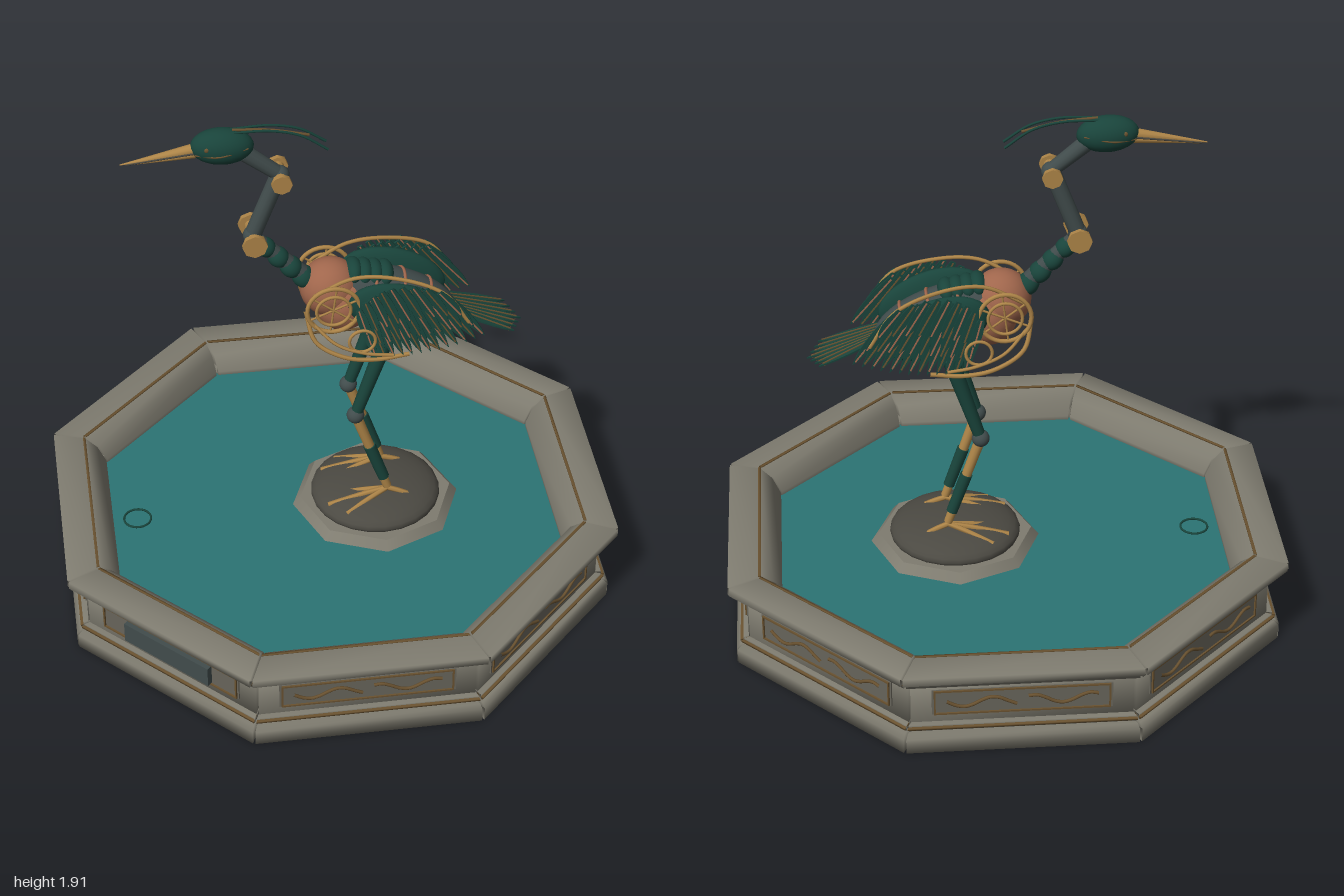
import * as THREE from 'three';
import { mergeVertices } from 'three/addons/utils/BufferGeometryUtils.js';

const paint = (name, color) => {
  const m = new THREE.MeshStandardMaterial({ color });
  m.name = name;
  return m;
};
const stone = paint('stone', 0x7f7c70), darkStone = paint('dark stone', 0x4b4942),
  panelStone = paint('panel stone', 0x67645a), water = paint('water', 0x2b7474),
  green = paint('verdigris green', 0x19443b), slate = paint('slate metal', 0x414c4c),
  gold = paint('brass', 0xae8548), copper = paint('copper', 0xa0664c), bronze = paint('dark bronze', 0x6a5230);

const V = (x, y, z = 0) => new THREE.Vector3(x, y, z);
const UP = V(0, 1, 0);

function add(parent, name, geo, mat, x = 0, y = 0, z = 0) {
  const m = new THREE.Mesh(geo, mat);
  m.name = name;
  m.position.set(x, y, z);
  parent.add(m);
  return m;
}
// Tapered rod between two points
function rod(parent, name, a, b, ra, rb, mat, sides = 12) {
  const m = add(parent, name, new THREE.CylinderGeometry(rb, ra, a.distanceTo(b), sides), mat);
  m.position.copy(a).lerp(b, 0.5);
  m.quaternion.setFromUnitVectors(UP, b.clone().sub(a).normalize());
}
function ball(parent, name, p, r, mat, sx = 1, sy = 1, sz = 1, tilt = 0) {
  const m = add(parent, name, new THREE.SphereGeometry(r, 24, 16), mat, p.x, p.y, p.z);
  m.scale.set(sx, sy, sz);
  m.rotation.z = tilt;
}
const tube = (parent, name, pts, r, mat) =>
  add(parent, name, new THREE.TubeGeometry(new THREE.CatmullRomCurve3(pts), 28, r, 6), mat);
const ring = (parent, name, p, R, r, mat) =>
  add(parent, name, new THREE.TorusGeometry(R, r, 8, 32), mat, p.x, p.y, p.z);

// Share corners so that normals blend smoothly over the edges
function soften(geo) {
  geo.deleteAttribute('uv');
  geo.deleteAttribute('normal');
  const merged = mergeVertices(geo);
  merged.computeVertexNormals();
  return merged;
}
// Octagonal moulding: a [distance, height] profile swept along eight mitred sides
function moulding(parent, name, profile, mat) {
  const geo = new THREE.ExtrudeGeometry(new THREE.Shape(profile.map(p => new THREE.Vector2(...p))),
    { depth: 1, bevelEnabled: false });
  const pos = geo.attributes.position;
  for (let i = 0; i < pos.count; i++)
    pos.setZ(i, (pos.getZ(i) - 0.5) * 2 * (pos.getX(i) * Math.tan(Math.PI / 8) - 0.005));
  const soft = soften(geo);
  for (let i = 0; i < 8; i++) add(parent, name, soft, mat).rotation.y = i * Math.PI / 4;
}
const octagon = (apothem, h, top = apothem) => new THREE.CylinderGeometry(top / Math.cos(Math.PI / 8),
  apothem / Math.cos(Math.PI / 8), h, 8, 1, false, Math.PI / 8);

function buildBasin() {
  const g = new THREE.Group();
  g.name = 'basin';
  moulding(g, 'footMoulding', [[0.8, 0], [0.98, 0], [0.98, 0.055], [0.965, 0.07], [0.8, 0.07]], stone);
  moulding(g, 'lowerStep', [[0.82, 0.075], [0.955, 0.075], [0.955, 0.098], [0.82, 0.098]], stone);
  moulding(g, 'basinWall', [[0.82, 0.07], [0.935, 0.07], [0.935, 0.26], [0.82, 0.26]], stone);
  moulding(g, 'rim', [[0.81, 0.2], [0.93, 0.255], [0.97, 0.265], [0.975, 0.288], [1, 0.295],
    [1, 0.325], [0.885, 0.335], [0.84, 0.3], [0.81, 0.24]], stone);
  moulding(g, 'rimInlay', [[0.882, 0.332], [0.892, 0.332], [0.892, 0.338], [0.882, 0.338]], bronze);
  moulding(g, 'lowerInlay', [[0.93, 0.084], [0.965, 0.084], [0.965, 0.092], [0.93, 0.092]], bronze);
  moulding(g, 'upperInlay', [[0.93, 0.284], [0.981, 0.284], [0.981, 0.29], [0.93, 0.29]], bronze);
  add(g, 'water', octagon(0.822, 0.02), water, 0, 0.215, 0);
  add(g, 'underside', soften(octagon(0.83, 0.1)), stone, 0, 0.1, 0);

  // Framed relief panels, one replaced by a plaque
  for (let i = 0; i < 8; i++) {
    const p = new THREE.Group();
    p.name = 'sidePanel';
    p.rotation.y = i * Math.PI / 4;
    g.add(p);
    add(p, 'panelBack', new THREE.BoxGeometry(0.62, 0.1, 0.006), panelStone, 0, 0.18, 0.937);
    for (const s of [-1, 1]) {
      add(p, 'panelRail', new THREE.BoxGeometry(0.6, 0.006, 0.014), bronze, 0, 0.18 + s * 0.046, 0.939);
      add(p, 'panelStile', new THREE.BoxGeometry(0.006, 0.098, 0.014), bronze, s * 0.3, 0.18, 0.939);
    }
    if (i === 7) {
      add(p, 'plaque', new THREE.BoxGeometry(0.38, 0.08, 0.03), slate, 0, 0.18, 0.947);
      continue;
    }
    for (const s of [-1, 1]) {
      const pts = [];
      for (let k = 0; k <= 8; k++)
        pts.push(V(s * (0.02 + k * 0.03), 0.18 + 0.018 * Math.sin(k * 0.95 + s), 0.945));
      tube(p, 'waveRelief', pts, 0.006, bronze);
    }
  }
  // Rock island and ripple
  add(g, 'islandSlab', octagon(0.288, 0.035, 0.26).toNonIndexed(), stone, 0.17, 0.24, 0).rotation.y = Math.PI / 8;
  ball(g, 'rock', V(0.17, 0.268, 0), 0.24, darkStone, 1, 0.28, 1);
  ring(g, 'ripple', V(-0.72, 0.228, 0), 0.05, 0.004, green).rotation.x = Math.PI / 2;
  return g;
}

// Thin pointed feather with a metal spine, from root to tip
function feather(parent, name, root, tip, width, roll, spineMat) {
  const L = root.distanceTo(tip), w = width / 2;
  const s = new THREE.Shape();
  s.moveTo(0, -w * 0.5);
  s.quadraticCurveTo(L * 0.65, -w * 1.6, L, 0);
  s.quadraticCurveTo(L * 0.65, w * 1.6, 0, w * 0.5);
  const f = new THREE.Group();
  f.name = name;
  add(f, 'vane', new THREE.ExtrudeGeometry(s, { depth: 0.006, bevelEnabled: false, curveSegments: 6 }), green, 0, 0, -0.003);
  add(f, 'spine', new THREE.BoxGeometry(L * 0.92, 0.005, 0.012), spineMat, L * 0.48, 0, 0);
  f.position.copy(root);
  const q = new THREE.Quaternion().setFromAxisAngle(V(1, 0, 0), roll);
  f.quaternion.setFromUnitVectors(V(1, 0, 0), tip.clone().sub(root).normalize()).multiply(q);
  parent.add(f);
}

function buildWing(s) {
  const g = new THREE.Group();
  g.name = s > 0 ? 'leftWing' : 'rightWing';
  ball(g, 'wingShell', V(0.24, 1.17, s * 0.11), 0.2, green, 1, 0.55, 0.2, -0.35);
  const roots = new THREE.QuadraticBezierCurve3(V(0.08, 1.22), V(0.16, 1.36), V(0.36, 1.27));
  const tips = new THREE.QuadraticBezierCurve3(V(0.14, 1.02), V(0.34, 0.99), V(0.53, 1.06));
  // Three overlapping rows: [count, start, end, distance out, tip spread]
  for (const [n, from, to, z, out] of [[13, 0.1, 1, 0.135, 0.025], [11, 0.05, 0.75, 0.15, 0.018], [9, 0, 0.48, 0.162, 0.01]])
    for (let i = 0; i < n; i++) {
      const t = i / (n - 1), a = roots.getPoint(t), b = tips.getPoint(t);
      const p = a.clone().lerp(b, from), q = a.clone().lerp(b, to);
      p.z = s * (z - 0.012 + i * 0.0006);
      q.z = s * (z + out - i * 0.0012);
      feather(g, 'wingFeather', p, q, 0.04, 0, i % 2 ? bronze : copper);
    }
  // Brass frame hoops and gear rings
  tube(g, 'upperFrame', [V(-0.07, 1.25, s * 0.09), V(0.07, 1.325, s * 0.105), V(0.22, 1.322, s * 0.125),
    V(0.38, 1.26, s * 0.15), V(0.47, 1.13, s * 0.155)], 0.007, gold);
  tube(g, 'lowerFrame', [V(-0.1, 1.2, s * 0.1), V(-0.07, 1.09, s * 0.14), V(0.03, 1.03, s * 0.165),
    V(0.14, 1.005, s * 0.16), V(0.26, 1.01, s * 0.15)], 0.008, gold);
  tube(g, 'innerFrame', [V(-0.08, 1.16, s * 0.12), V(0.0, 1.09, s * 0.165), V(0.1, 1.05, s * 0.178),
    V(0.2, 1.03, s * 0.175)], 0.006, gold);
  ring(g, 'shoulderRing', V(-0.005, 1.21, s * 0.125), 0.092, 0.008, gold);
  ring(g, 'shoulderInnerRing', V(-0.005, 1.21, s * 0.13), 0.06, 0.006, gold);
  ring(g, 'lowerRing', V(0.09, 1.1, s * 0.172), 0.046, 0.006, gold);
  for (let i = 0; i < 3; i++) {
    const a = 0.4 + i * Math.PI / 3, c = Math.cos(a) * 0.09, d = Math.sin(a) * 0.09;
    rod(g, 'ringSpoke', V(-0.005 - c, 1.21 - d, s * 0.125), V(-0.005 + c, 1.21 + d, s * 0.125), 0.004, 0.004, gold, 6);
  }
  return g;
}

function buildLeg(s) {
  const g = new THREE.Group(), z = s * 0.09;
  g.name = s > 0 ? 'leftLeg' : 'rightLeg';
  ball(g, 'hip', V(0.185, 1.06, s * 0.07), 0.042, slate);
  rod(g, 'thigh', V(0.188, 1.04, z), V(0.085, 0.72, z), 0.03, 0.022, green);
  ball(g, 'knee', V(0.08, 0.705, z), 0.032, slate);
  rod(g, 'shin', V(0.085, 0.69, z), V(0.2, 0.355, z), 0.02, 0.016, gold);
  rod(g, 'shinSleeve', V(0.132, 0.555, z), V(0.186, 0.4, z), 0.023, 0.021, green);
  // Toes and tendrils spread over the rock
  for (const [dx, dz] of [[-0.21, -0.05], [-0.22, 0.01], [-0.16, 0.07], [0.11, 0.01]])
    tube(g, 'toe', [V(0.2, 0.345, z), V(0.2 + dx * 0.4, 0.328, z + s * dz * 0.4),
      V(0.2 + dx, 0.295, z + s * dz)], 0.01, gold);
  return g;
}

function buildHeadAndNeck() {
  const g = new THREE.Group();
  g.name = 'headAndNeck';
  ball(g, 'head', V(-0.365, 1.845), 0.108, green, 1, 0.6, 0.55, -0.05);
  rod(g, 'upperBeak', V(-0.45, 1.842), V(-0.71, 1.8), 0.021, 0.002, gold);
  rod(g, 'lowerBeak', V(-0.44, 1.826), V(-0.69, 1.798), 0.018, 0.002, gold);
  for (const s of [-1, 1]) {
    rod(g, 'beakLine', V(-0.45, 1.836, s * 0.02), V(-0.69, 1.8, s * 0.003), 0.004, 0.003, darkStone, 6);
    ball(g, 'eye', V(-0.42, 1.86, s * 0.046), 0.009, bronze, 1, 1, 0.6);
    tube(g, 'cheekTrim', [V(-0.46, 1.832, s * 0.028), V(-0.38, 1.838, s * 0.06), V(-0.28, 1.85, s * 0.038)], 0.003, bronze);
    tube(g, 'crestPlume', [V(-0.34, 1.9, s * 0.012), V(-0.2, 1.9, s * 0.018), V(-0.1, 1.875, s * 0.022),
      V(-0.01, 1.815, s * 0.026)], 0.005, green);
  }
  tube(g, 'crestCentre', [V(-0.33, 1.905), V(-0.2, 1.893), V(-0.07, 1.862)], 0.005, bronze);
  // Jointed neck with brass pivots
  rod(g, 'upperNeck', V(-0.29, 1.81), V(-0.18, 1.72), 0.03, 0.026, slate);
  rod(g, 'middleNeck', V(-0.175, 1.71), V(-0.265, 1.48), 0.03, 0.03, slate);
  for (const [x, y, w, r] of [[-0.172, 1.71, 0.05, 0.036], [-0.268, 1.47, 0.058, 0.044]]) {
    rod(g, 'pivotPin', V(x, y, -w), V(x, y, w), 0.022, 0.022, gold);
    ball(g, 'pivotCore', V(x, y), 0.034, slate);
    for (const s of [-1, 1]) rod(g, 'pivotCap', V(x, y, s * w), V(x, y, s * (w + 0.018)), r, r, gold, 8);
  }
  rod(g, 'lowerNeck', V(-0.25, 1.445), V(-0.07, 1.26), 0.026, 0.034, slate);
  for (let i = 0; i < 4; i++)
    ball(g, 'neckPlate', V(-0.225 + i * 0.044, 1.415 - i * 0.046), 0.036 + i * 0.002, green, 1.1, 0.95, 1, -0.83);
  return g;
}

export function createModel() {
  const model = new THREE.Group();
  model.name = 'wadingBirdFountain';
  model.add(buildBasin());

  const body = new THREE.Group();
  body.name = 'body';
  ball(body, 'torso', V(0.19, 1.16), 0.27, slate, 1, 0.44, 0.38, -0.3);
  ball(body, 'chest', V(0, 1.225), 0.108, copper, 1, 1, 0.92);
  ball(body, 'breast', V(0.05, 1.17), 0.12, copper, 0.9, 1, 0.92, -0.3);
  for (let i = 0; i < 4; i++)
    ball(body, 'backPlate', V(0.08 + i * 0.037, 1.285 - i * 0.007), 0.055, green, 0.6, 0.75, 1.15, -0.3);
  for (const [x, y, r] of [[0.13, 1.185, 0.114], [0.23, 1.15, 0.115], [0.33, 1.12, 0.097]]) {
    const band = ring(body, 'bodyBand', V(x, y), r, 0.006, copper);
    band.rotation.set(0, Math.PI / 2, -0.3, 'ZYX');
    band.scale.x = 0.88;
  }
  // Fanned tail
  for (let i = -3; i <= 3; i++)
    feather(body, 'tailFeather', V(0.4, 1.118 + Math.abs(i) * 0.002, i * 0.012),
      V(0.69 - Math.abs(i) * 0.014, 1.01 + Math.abs(i) * 0.005, i * 0.03), 0.044, Math.PI / 2, bronze);
  model.add(body, buildHeadAndNeck());
  for (const s of [-1, 1]) model.add(buildWing(s), buildLeg(s));
  return model;
}
